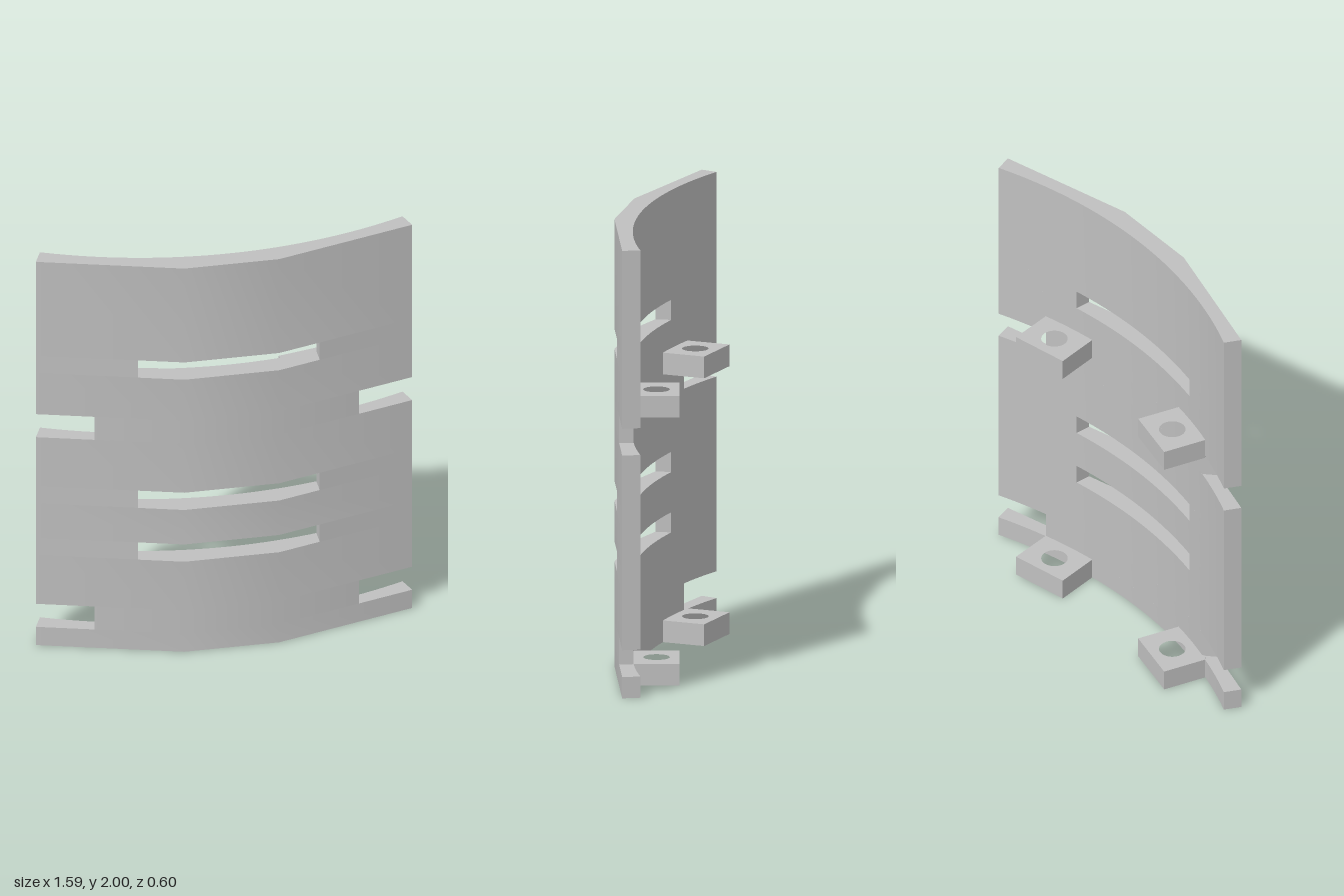
import * as THREE from 'three';
import { mergeGeometries, toCreasedNormals } from 'three/addons/utils/BufferGeometryUtils.js';

// Plan of the panel: faceted outer face, circular inner face
const OUTER = [[-0.795, -0.22], [-0.25, 0.135], [0.15, 0.265], [0.79, 0.3]];
const ARC = { x: 0.64, top: 0.225, r: 2.15 };

function outerZ(x) {
  let i = 0;
  while (i < OUTER.length - 2 && x > OUTER[i + 1][0]) i++;
  const [x0, z0] = OUTER[i], [x1, z1] = OUTER[i + 1];
  return z0 + (z1 - z0) * (x - x0) / (x1 - x0);
}

function innerZ(x) {
  return ARC.top - ARC.r + Math.sqrt(ARC.r ** 2 - (x - ARC.x) ** 2);
}

// Cuts across the panel: [x on the outer face, x on the inner face]
const CUT = {
  leftEnd: [0.79, 0.785],
  leftNotch: [0.535, 0.538],
  slotLeft: [0.345, 0.365],
  slotRight: [-0.42, -0.4],
  rightNotch: [-0.58, -0.515],
  rightEnd: [-0.795, -0.743],
};

// Extrudes a plan outline of [x, z] points from y0 up to y1
function extrudePlan(points, y0, y1, hole) {
  const shape = new THREE.Shape(points.map(([x, z]) => new THREE.Vector2(x, -z)));
  if (hole) {
    const path = new THREE.Path();
    path.absarc(hole.x, -hole.z, hole.r, 0, Math.PI * 2, true);
    shape.holes.push(path);
  }
  const geometry = new THREE.ExtrudeGeometry(shape, { depth: y1 - y0, bevelEnabled: false, curveSegments: 24 });
  geometry.rotateX(-Math.PI / 2);
  geometry.translate(0, y0, 0);
  return geometry;
}

// Piece of the panel between two cuts
function panelPiece(a, b, y0, y1) {
  const points = [[a[0], outerZ(a[0])]];
  for (const p of OUTER) if (p[0] > a[0] + 1e-4 && p[0] < b[0] - 1e-4) points.push(p);
  points.push([b[0], outerZ(b[0])]);
  const n = Math.max(4, Math.ceil((b[1] - a[1]) * 20));
  for (let i = 0; i <= n; i++) {
    const x = b[1] + (a[1] - b[1]) * i / n;
    points.push([x, innerZ(x)]);
  }
  return extrudePlan(points, y0, y1);
}

export function createModel() {
  const model = new THREE.Group();
  model.name = 'curvedPanel';
  const grey = new THREE.MeshStandardMaterial({ color: 0xc0c0c0 });
  grey.name = 'light grey';

  const add = (name, geometry) => {
    const mesh = new THREE.Mesh(toCreasedNormals(geometry, 0.45), grey);
    mesh.name = name;
    model.add(mesh);
  };

  // Panel in horizontal bands: solid, notched at both edges, or slotted
  const { leftEnd, leftNotch, slotLeft, slotRight, rightNotch, rightEnd } = CUT;
  const solid = [[rightEnd, leftEnd]];
  const notched = [[rightNotch, leftNotch]];
  const slotted = [[rightEnd, slotRight], [slotLeft, leftEnd]];
  const bands = [
    [0, solid], [0.095, notched], [0.215, solid], [0.47, slotted], [0.56, solid], [0.74, slotted],
    [0.83, solid], [1.085, notched], [1.205, solid], [1.42, slotted], [1.51, solid], [2],
  ];
  const pieces = [];
  for (let i = 0; i < bands.length - 1; i++) {
    const [y0, spans] = bands[i];
    for (const [a, b] of spans) pieces.push(panelPiece(a, b, y0, bands[i + 1][0]));
  }
  add('panel', mergeGeometries(pieces));

  // Drilled mounting lugs on the inner face, slightly sunk into it
  const lugs = [
    {
      name: 'rightLug',
      plan: [[-0.445, -0.304], [-0.215, -0.168], [-0.313, 0.002], [-0.323, 0.019], [-0.533, -0.109], [-0.543, -0.132]],
      hole: { x: -0.381, z: -0.147, r: 0.058 },
    },
    {
      name: 'leftLug',
      plan: [[0.293, -0.006], [0.56, 0.024], [0.538, 0.222], [0.535, 0.245], [0.271, 0.215]],
      hole: { x: 0.415, z: 0.109, r: 0.058 },
    },
  ];
  for (const { name, plan, hole } of lugs) {
    add(name + 'Lower', extrudePlan(plan, 0, 0.097, hole));
    add(name + 'Upper', extrudePlan(plan, 1.197, 1.294, hole));
  }
  return model;
}
